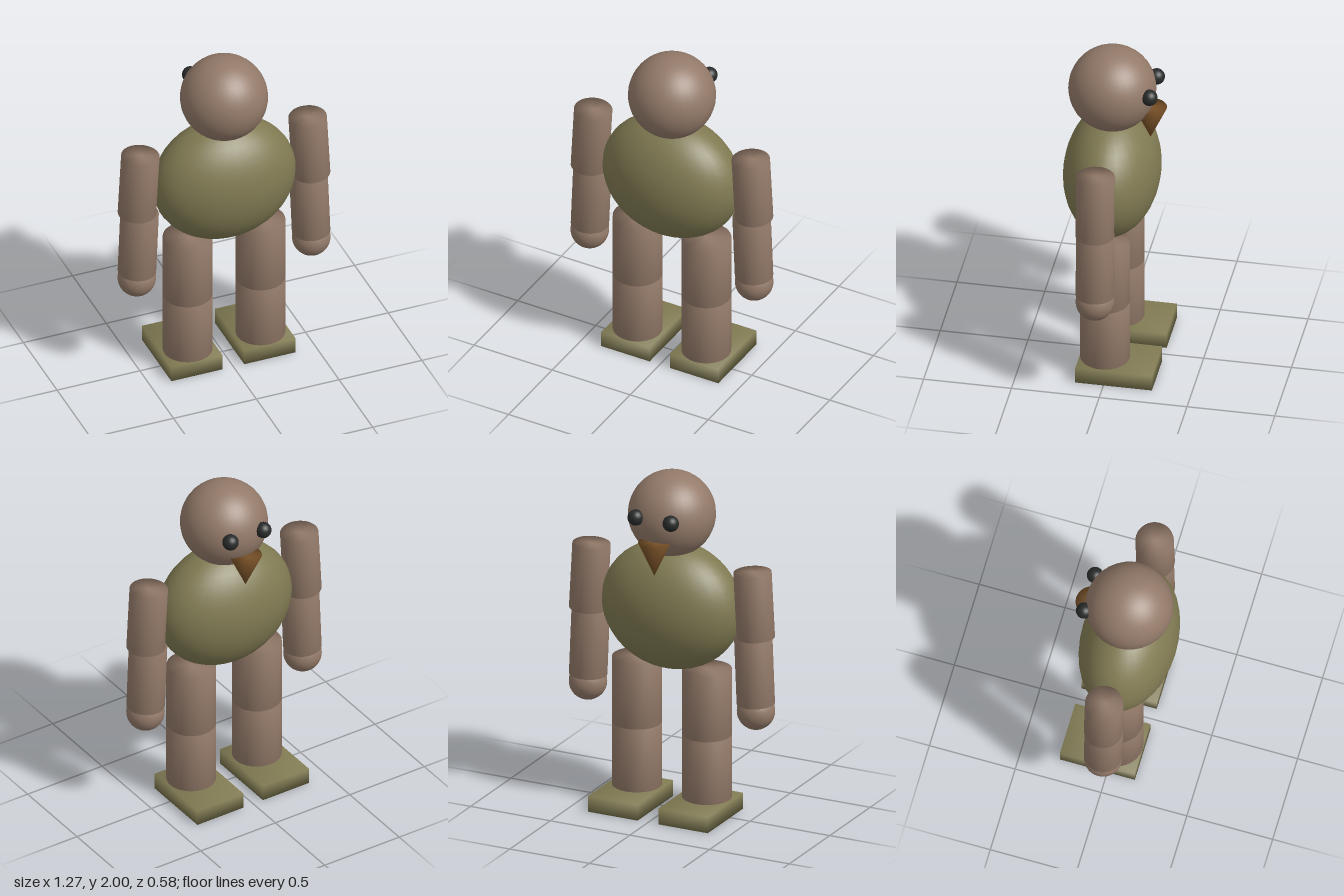
import * as THREE from 'three';
import { mergeVertices } from 'three/addons/utils/BufferGeometryUtils.js';

const Z = 0.02; // body axis depth

function material(name, color) {
  const m = new THREE.MeshStandardMaterial({ color });
  m.name = name;
  return m;
}

// Share corner vertices so shading rolls softly over every edge
function soften(geometry) {
  geometry.deleteAttribute('normal');
  geometry.deleteAttribute('uv');
  const merged = mergeVertices(geometry, 1e-4);
  merged.computeVertexNormals();
  return merged;
}

export function createModel() {
  const model = new THREE.Group();
  model.name = 'birdFigure';
  const skin = material('dusty brown', 0x937a69);
  const olive = material('olive green', 0x807a52);
  const horn = material('beak brown', 0x7a5228);
  const black = material('eye black', 0x282a2a);

  function add(name, geometry, mat, x, y, z) {
    const mesh = new THREE.Mesh(geometry, mat);
    mesh.name = name;
    mesh.position.set(x, y, z);
    model.add(mesh);
    return mesh;
  }
  const ball = (r) => new THREE.SphereGeometry(r, 32, 24);

  // Closed limb segment running from a top point to a bottom point
  function limb(name, r, x1, y1, x2, y2) {
    const length = Math.hypot(x1 - x2, y1 - y2);
    const geometry = soften(new THREE.CylinderGeometry(r, r, length, 32));
    const mesh = add(name, geometry, skin, (x1 + x2) / 2, (y1 + y2) / 2, Z);
    mesh.rotation.z = -Math.atan2(x1 - x2, y1 - y2);
  }

  // Torso and head
  add('torso', ball(1), olive, 0, 1.21, Z).scale.set(0.42, 0.375, 0.27);
  add('head', ball(0.247), skin, 0, 1.753, Z);

  // Beak: cone pointing down
  add('beak', soften(new THREE.CylinderGeometry(0.092, 0, 0.2, 32)), horn, 0, 1.55, -0.198);

  // The figure faces -z, so its left is -x
  for (const [side, s] of [['left', -1], ['right', 1]]) {
    add(side + 'Eye', ball(0.046), black, s * 0.11, 1.785, -0.212);

    // Arm
    limb(side + 'UpperArm', 0.108, s * 0.505, 1.485, s * 0.526, 1.1);
    limb(side + 'Forearm', 0.108, s * 0.51, 1.095, s * 0.526, 0.705);
    add(side + 'Hand', ball(0.108), skin, s * 0.527, 0.66, Z);

    // Leg
    limb(side + 'Thigh', 0.14, s * 0.22, 0.86, s * 0.22, 0.47);
    limb(side + 'Shin', 0.14, s * 0.22, 0.47, s * 0.22, 0.09);
    add(side + 'Foot', soften(new THREE.BoxGeometry(0.31, 0.095, 0.437)), olive, s * 0.22, 0.0475, -0.058);
  }
  return model;
}
